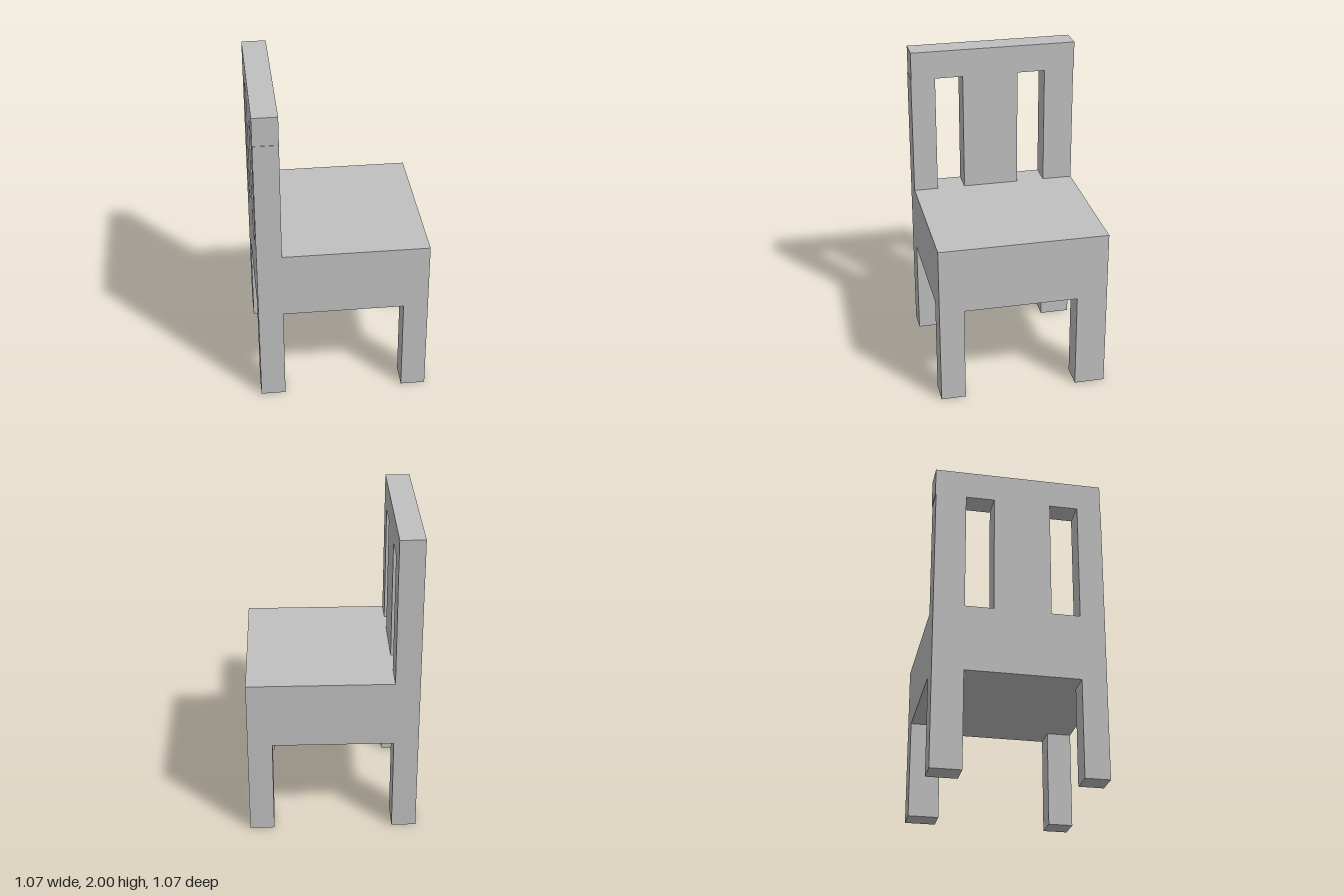
import * as THREE from 'three';

export function createModel() {
  const chair = new THREE.Group();
  chair.name = 'chair';
  const grey = new THREE.MeshStandardMaterial({ color: 0xc0c0c0 });
  grey.name = 'grey';

  // Box given by its extents on each axis
  function block(name, [x0, x1], [y0, y1], [z0, z1]) {
    const mesh = new THREE.Mesh(new THREE.BoxGeometry(x1 - x0, y1 - y0, z1 - z0), grey);
    mesh.position.set((x0 + x1) / 2, (y0 + y1) / 2, (z0 + z1) / 2);
    mesh.name = name;
    chair.add(mesh);
  }

  const seatY = [0.625, 1.05];
  const railY = [1.82, 2];
  const backX = [-0.535, -0.38];
  const frontX = [0.377, 0.532];
  const sides = { Left: [-0.533, -0.34], Right: [0.38, 0.536] };

  // Thick seat; the chair faces +x
  block('seat', [backX[0], frontX[1]], seatY, [-0.533, 0.536]);

  // Legs and the back posts above them
  for (const [side, z] of Object.entries(sides)) {
    block('frontLeg' + side, frontX, [0, seatY[0]], z);
    block('backLeg' + side, backX, [0, seatY[0]], z);
    block('backPost' + side, backX, [seatY[1], railY[0]], z);
  }

  // Wide centre slat and top rail of the backrest
  block('backSlat', backX, [seatY[1], railY[0]], [-0.16, 0.2]);
  block('topRail', backX, railY, [-0.537, 0.533]);

  return chair;
}
